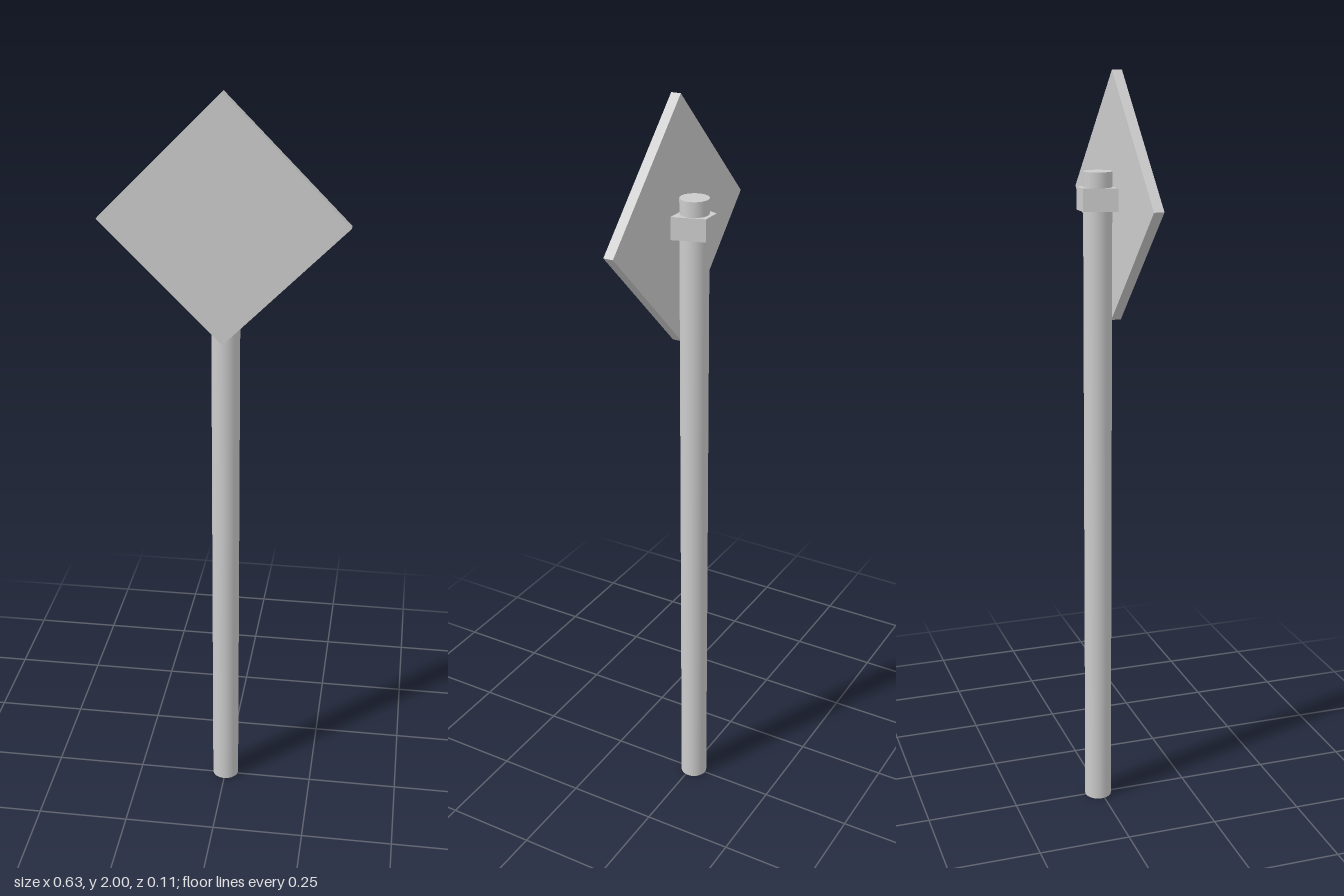
import * as THREE from 'three';

export function createModel() {
  const group = new THREE.Group();
  const material = new THREE.MeshStandardMaterial({ color: 0xcccccc });

  const add = (name, geometry, x, y, z) => {
    const mesh = new THREE.Mesh(geometry, material);
    mesh.name = name;
    mesh.position.set(x, y, z);
    group.add(mesh);
    return mesh;
  };

  const signY = 1.687;
  const halfDiagonal = 0.313;

  // Round post, closed at both ends
  const postHeight = 1.755;
  add('post', new THREE.CylinderGeometry(0.037, 0.037, postHeight, 32), 0, postHeight / 2, -0.008);

  // Square plate standing on its corner
  const side = halfDiagonal * Math.SQRT2;
  const plate = add('signPlate', new THREE.BoxGeometry(side, side, 0.026), 0, signY, 0.042);
  plate.rotation.z = Math.PI / 4;

  // Tapered clamp around the post, wide against the plate (shape y becomes -z)
  const clampHeight = 0.058;
  const outline = new THREE.Shape([
    new THREE.Vector2(-0.053, -0.029),
    new THREE.Vector2(0.053, -0.029),
    new THREE.Vector2(0.027, 0.055),
    new THREE.Vector2(-0.027, 0.055),
  ]);
  const clamp = new THREE.ExtrudeGeometry(outline, { depth: clampHeight, bevelEnabled: false });
  clamp.rotateX(-Math.PI / 2);
  add('clamp', clamp, 0, signY - clampHeight / 2, 0);

  return group;
}
